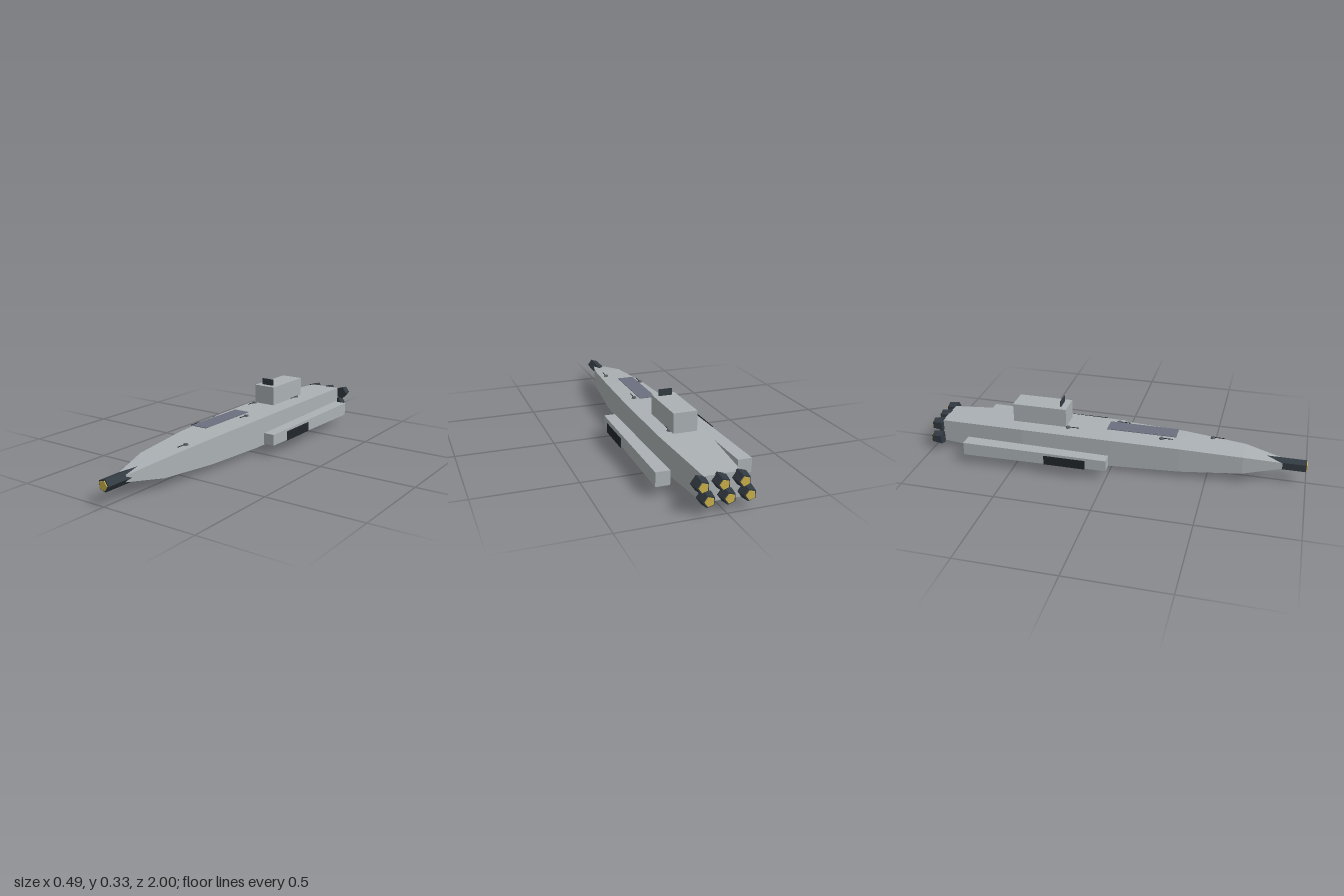
import * as THREE from 'three';

const paint = (name, color) => {
  const m = new THREE.MeshStandardMaterial({ color, flatShading: true });
  m.name = name;
  return m;
};

// Rectangular loft along z from [z, halfWidth, halfHeight] sections, back to front
function loft(sections) {
  const rings = sections.map(([z, w, h]) => [[w, -h, z], [w, h, z], [-w, h, z], [-w, -h, z]]);
  const pos = [];
  const quad = (a, b, c, d) => pos.push(...a, ...b, ...c, ...a, ...c, ...d);
  for (let i = 0; i < rings.length - 1; i++) {
    for (let j = 0; j < 4; j++) {
      const k = (j + 1) % 4;
      quad(rings[i][j], rings[i][k], rings[i + 1][k], rings[i + 1][j]);
    }
  }
  quad(...rings[rings.length - 1]);
  quad(...[...rings[0]].reverse());
  const geo = new THREE.BufferGeometry();
  geo.setAttribute('position', new THREE.Float32BufferAttribute(pos, 3));
  geo.computeVertexNormals();
  return geo;
}

// Cylinder lying along z, with one corner pointing to +x
function rod(rFront, rBack, z0, z1, sides) {
  return new THREE.CylinderGeometry(rFront, rBack, z1 - z0, sides, 1, false, Math.PI / 2)
    .rotateX(Math.PI / 2).translate(0, 0, (z0 + z1) / 2);
}

export function createModel() {
  const model = new THREE.Group();
  const grey = paint('hull grey', 0xabb1b4);
  const dark = paint('dark steel', 0x323a42);
  const gold = paint('glow yellow', 0xc9b04a);
  const slate = paint('deck slate', 0x6b6f7f);
  const gunGrey = paint('turret grey', 0x5a6066);
  const black = paint('gun black', 0x22262a);

  const add = (name, geo, mat, x = 0, y = 0, z = 0, parent = model) => {
    const mesh = new THREE.Mesh(geo, mat);
    mesh.name = name;
    mesh.position.set(x, y, z);
    parent.add(mesh);
    return mesh;
  };
  const box = (w, h, d) => new THREE.BoxGeometry(w, h, d);

  // Main hull
  add('hull', loft([
    [-0.945, 0.087, 0.061], [-0.48, 0.12, 0.079], [0, 0.115, 0.075],
    [0.36, 0.1, 0.066], [0.68, 0.073, 0.047], [0.88, 0.025, 0.016],
  ]), grey, 0, 0.099);

  // Nose cannon
  add('noseBarrel', rod(0.032, 0.032, 0.78, 0.995, 5), dark, 0, 0.098);
  add('noseGlow', rod(0.025, 0.025, 0.985, 1, 5), gold, 0, 0.098);

  // Two staggered rows of three engines
  for (const [y, shift] of [[0.134, 0.014], [0.066, -0.014]]) {
    for (const col of [-1, 0, 1]) {
      const engine = new THREE.Group();
      engine.name = 'engine';
      engine.position.set(col * 0.095 + shift, y, 0);
      add('nozzle', rod(0.038, 0.03, -0.995, -0.94, 5), dark, 0, 0, 0, engine);
      add('engineGlow', rod(0.023, 0.023, -1, -0.985, 5), gold, 0, 0, 0, engine);
      model.add(engine);
    }
  }

  // Side pods with their outer panels
  const podGeo = loft([[-0.765, 0.035, 0.035], [0.005, 0.029, 0.029]]);
  for (const s of [-1, 1]) {
    add('sidePod', podGeo, grey, s * 0.198, 0.088);
    add('podPanel', box(0.002, 0.05, 0.22), black, s * 0.243, 0.088, -0.21);
  }

  // Bridge tower, sensor plate and deck panel
  add('bridgeTower', box(0.12, 0.1, 0.29), grey, 0, 0.244, -0.395);
  add('sensorPlate', box(0.07, 0.036, 0.004), dark, 0, 0.31, -0.285);
  add('deckPanel', box(0.085, 0.003, 0.365), slate, 0, 0.201, 0.15);

  // Deck turrets, alternating sides
  const baseGeo = new THREE.CylinderGeometry(0.01, 0.013, 0.008, 8);
  const gunGeo = rod(0.002, 0.002, 0, 0.06, 6);
  for (let i = 0; i < 5; i++) {
    const turret = new THREE.Group();
    turret.name = 'deckTurret';
    turret.position.set(i % 2 ? -0.06 : 0.06, i ? 0.195 : 0.168, 0.51 - i * 0.25);
    add('turretBase', baseGeo, gunGrey, 0, 0, 0, turret);
    add('turretGun', gunGeo, black, 0, 0.001, 0, turret);
    model.add(turret);
  }

  // Belly guns, alternating sides
  const bellyGeo = rod(0.0018, 0.0018, -0.025, 0.025, 6);
  for (let i = 0; i < 4; i++) {
    add('bellyGun', bellyGeo, black, i % 2 ? -0.06 : 0.06, i ? 0.002 : 0.029, 0.425 - i * 0.25);
  }
  return model;
}
